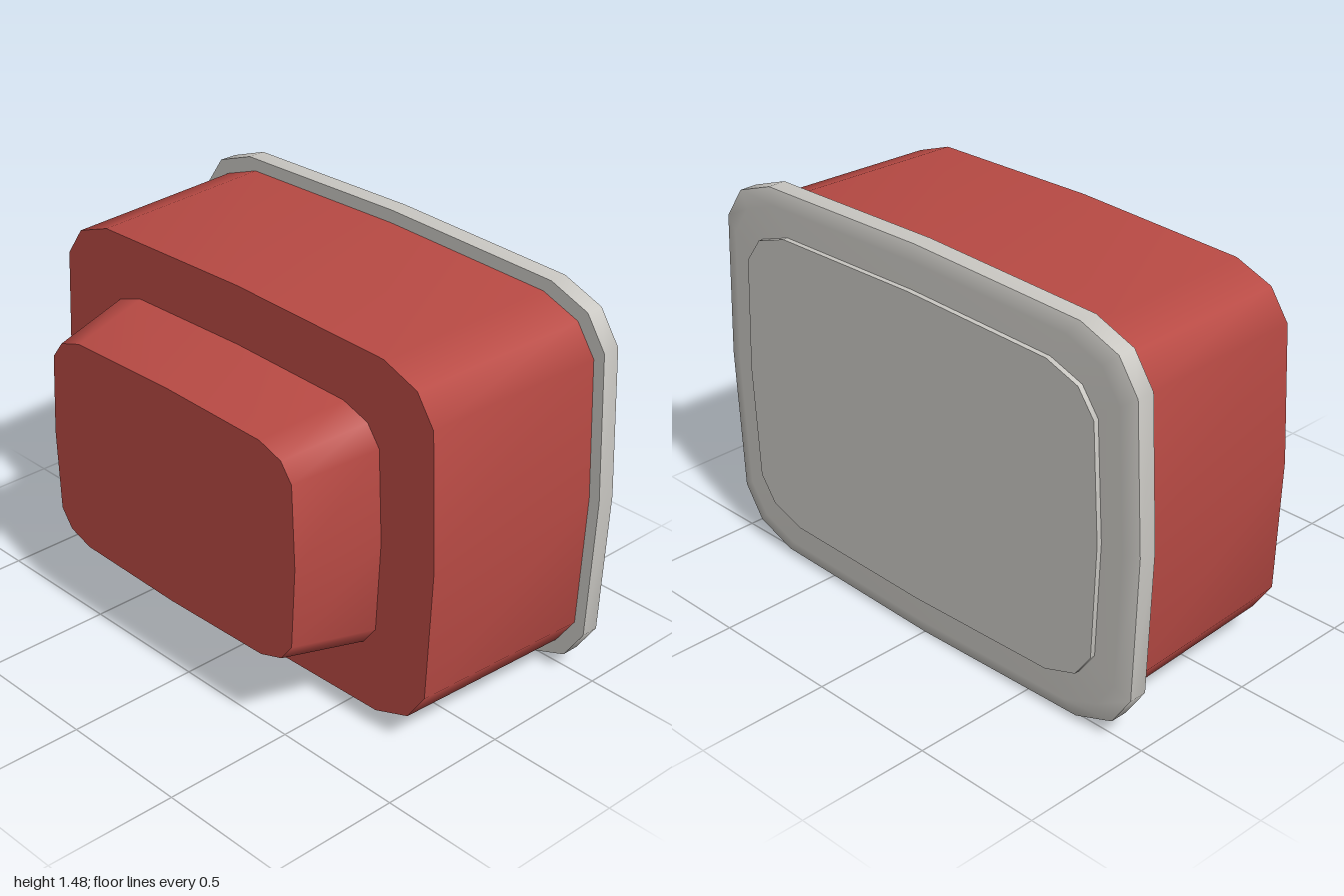
import * as THREE from 'three';
import { mergeGeometries } from 'three/addons/utils/BufferGeometryUtils.js';

const SIDES = 16, CENTRE_Y = 0.74, ROUNDNESS = 0.32;
const soften = (v) => (Math.abs(v) < 1e-6 ? 0 : Math.sign(v) * Math.abs(v) ** ROUNDNESS);

// One smooth strip through rounded-rectangle rings [x, halfDepth, halfHeight], ordered towards +x
function strip(rings) {
  const positions = [], index = [];
  for (const [x, hz, hy] of rings) {
    for (let i = 0; i < SIDES; i++) {
      const a = (i / SIDES) * Math.PI * 2;
      positions.push(x, CENTRE_Y + hy * soften(Math.sin(a)), hz * soften(Math.cos(a)));
    }
  }
  for (let r = 0; r < rings.length - 1; r++) {
    for (let i = 0; i < SIDES; i++) {
      const j = (i + 1) % SIDES, p = r * SIDES, q = p + SIDES;
      // A ring of zero size is a cap centre, so it needs only one triangle per side
      if (rings[r + 1][1] > 0) index.push(p + i, q + i, q + j);
      if (rings[r][1] > 0) index.push(p + i, q + j, p + j);
    }
  }
  const g = new THREE.BufferGeometry();
  g.setAttribute('position', new THREE.Float32BufferAttribute(positions, 3));
  g.setIndex(index);
  g.computeVertexNormals();
  return g;
}

// Closed solid: flat back, smooth wall, and a front that may have a bevel ring
function solid(name, material, back, front, bevel) {
  const end = bevel ?? front;
  const face = bevel ? [front, bevel] : [front];
  const mesh = new THREE.Mesh(mergeGeometries([
    strip([[back[0], 0, 0], back]),
    strip([back, front]),
    strip([...face, [end[0], 0, 0]]),
  ]), material);
  mesh.name = name;
  return mesh;
}

export function createModel() {
  const red = new THREE.MeshStandardMaterial({ color: 0xb84a44 });
  red.name = 'red';
  const grey = new THREE.MeshStandardMaterial({ color: 0xcac8c3 });
  grey.name = 'light grey';

  const model = new THREE.Group();
  model.name = 'container';
  model.add(
    // Tapered base step and main tub
    solid('baseStep', red, [-0.566, 0.62, 0.413], [-0.25, 0.692, 0.465]),
    solid('tub', red, [-0.253, 0.929, 0.68], [0.465, 0.957, 0.692]),
    // Lid with a shallow bevel and a raised panel
    solid('lid', grey, [0.462, 1, 0.74], [0.53, 1, 0.74], [0.547, 0.94, 0.685]),
    solid('lidPanel', grey, [0.54, 0.852, 0.585], [0.566, 0.852, 0.585]),
  );
  return model;
}
